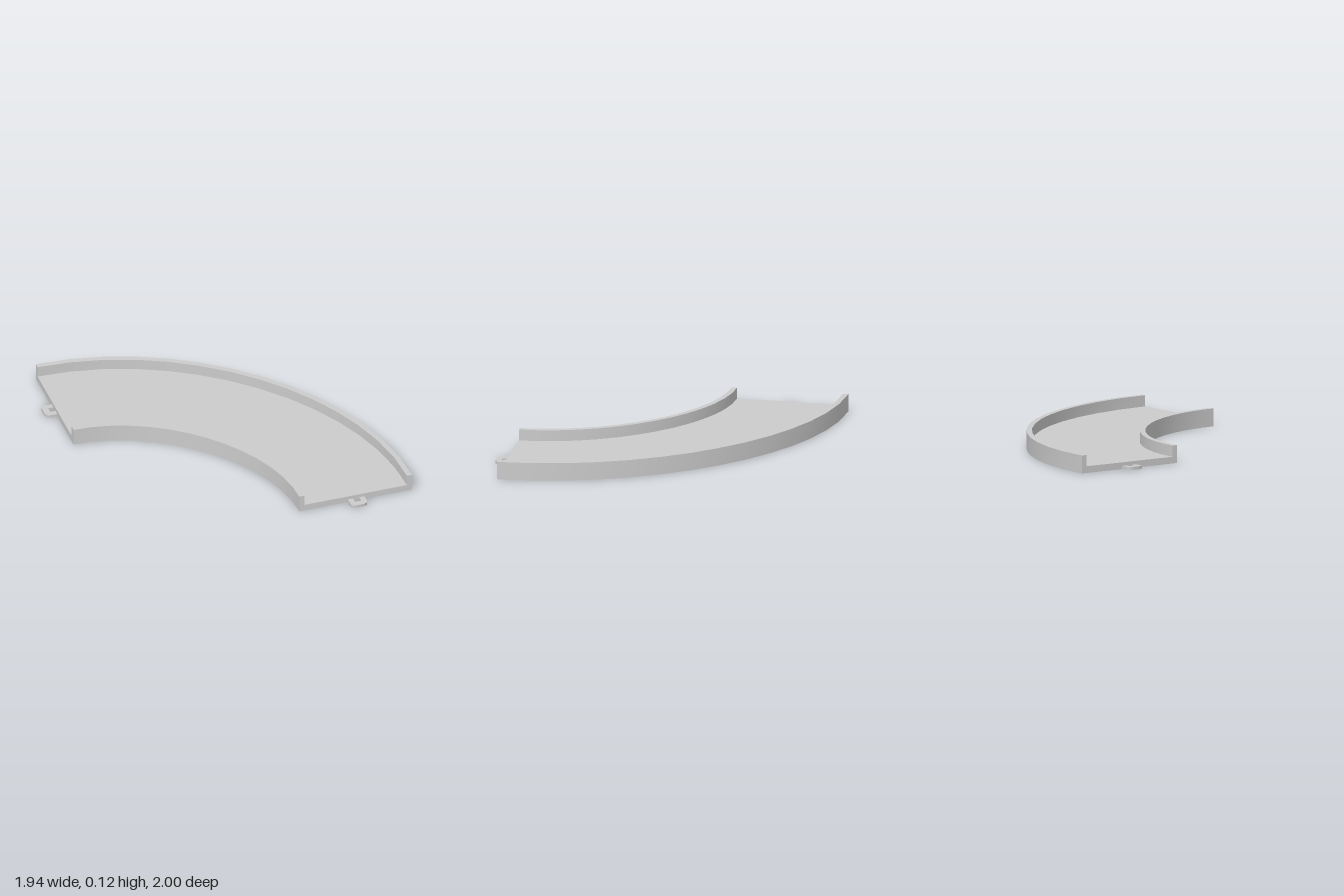
import * as THREE from 'three';
import { toCreasedNormals } from 'three/addons/utils/BufferGeometryUtils.js';

const material = new THREE.MeshStandardMaterial({ color: 0xcccccc });

// Curved channel: a U-shaped section swept along a quarter bend
function makeTrack() {
  const half = 0.3775, wall = 0.035, floor = 0.043, top = 0.115;
  const lean = 0.013, handle = 0.785;
  const start = new THREE.Vector3(-0.9, 0, -0.6225);
  const end = new THREE.Vector3(0.5875, 0, 0.92);
  const path = new THREE.CubicBezierCurve3(
    start,
    start.clone().add(new THREE.Vector3(handle, 0, handle * lean)),
    end.clone().add(new THREE.Vector3(handle * lean, 0, -handle)),
    end
  );
  // Section points are (height, offset from the centre line); the sweep maps local x to -y
  const section = new THREE.Shape([
    [0, -half], [0, half], [top, half], [top, half - wall],
    [floor, half - wall], [floor, wall - half], [top, wall - half], [top, -half],
  ].map(([h, o]) => new THREE.Vector2(-h, o)));
  const geometry = new THREE.ExtrudeGeometry(section, { steps: 14, extrudePath: path });
  const mesh = new THREE.Mesh(toCreasedNormals(geometry, 0.5), material);
  mesh.name = 'curvedTrack';
  return mesh;
}

// Flat connector loop, opening towards the track end, pointing along +z
function makeLoop(name) {
  const w = 0.056, d = 0.078, r = 0.036, back = -0.006;
  const shape = new THREE.Shape();
  shape.moveTo(-w, back);
  shape.lineTo(w, back);
  shape.lineTo(w, d - r);
  shape.quadraticCurveTo(w, d, w - r, d);
  shape.lineTo(r - w, d);
  shape.quadraticCurveTo(-w, d, -w, d - r);
  shape.closePath();
  const hole = new THREE.Path([
    [-0.021, 0.001], [-0.021, 0.038], [0.021, 0.038], [0.021, 0.001],
  ].map(([x, y]) => new THREE.Vector2(x, y)));
  shape.holes.push(hole);
  const geometry = new THREE.ExtrudeGeometry(shape, { depth: 0.02, bevelEnabled: false, curveSegments: 4 });
  geometry.rotateX(Math.PI / 2).translate(0, 0.02, 0);
  const mesh = new THREE.Mesh(toCreasedNormals(geometry, 0.6), material);
  mesh.name = name;
  return mesh;
}

export function createModel() {
  const group = new THREE.Group();
  group.name = 'curvedTrackSection';
  group.add(makeTrack());

  // One connector at each end
  const frontLoop = makeLoop('frontConnector');
  frontLoop.position.set(0.59, 0, 0.92);
  const sideLoop = makeLoop('sideConnector');
  sideLoop.position.set(-0.898, 0, -0.625);
  sideLoop.rotation.y = -Math.PI / 2;
  group.add(frontLoop, sideLoop);
  return group;
}
